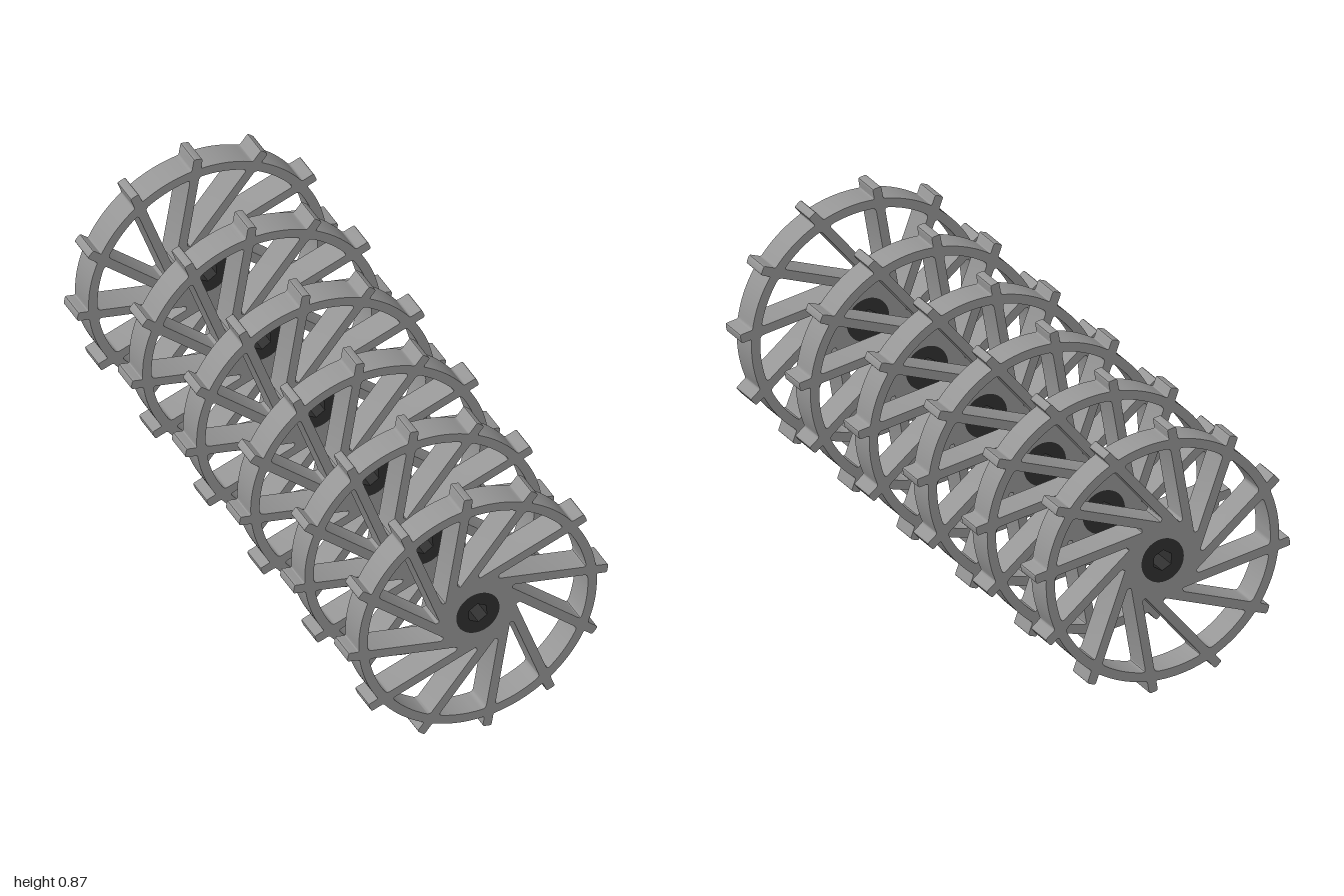
import * as THREE from 'three';
import { toCreasedNormals } from 'three/addons/utils/BufferGeometryUtils.js';

const SPOKES = 12, STEP = Math.PI * 2 / SPOKES, TILT = -9.6 * Math.PI / 180;
const RIM_OUT = 0.397, RIM_IN = 0.367, TIP = 0.422, HUB_R = 0.072;
const OFFSET = 0.1025, HALF = 0.0148;   // spoke centre line misses the axle by OFFSET
const LOW = OFFSET - HALF, HIGH = OFFSET + HALF;
const WIDTH = 0.095, CENTRE_Y = 0.434;

// Corner given in the frame of spoke k (u along it, v across it), with a rounding length
function corner(k, u, v, round = 0) {
  const a = TILT + k * STEP, c = Math.cos(a), s = Math.sin(a);
  return { p: new THREE.Vector2(u * c - v * s, u * s + v * c), round };
}
const onCircle = (k, r, v, round) => corner(k, Math.sqrt(r * r - v * v), v, round);

// Points of the circle strictly between two corners lying on it
function arcBetween(a, b, r, n = 11) {
  const a0 = a.p.angle();
  let d = b.p.angle() - a0;
  if (d < 0) d += Math.PI * 2;
  return Array.from({ length: n - 1 }, (_, i) => {
    const t = a0 + d * (i + 1) / n;
    return { p: new THREE.Vector2(r * Math.cos(t), r * Math.sin(t)), round: 0 };
  });
}

// Closed path whose corners are softened by their rounding length
function trace(path, pts) {
  pts.forEach(({ p, round }, i) => {
    const prev = pts[(i + pts.length - 1) % pts.length].p;
    const next = pts[(i + 1) % pts.length].p;
    const toward = q => p.clone().add(q.clone().sub(p).setLength(round));
    const a = round ? toward(prev) : p, b = round ? toward(next) : p;
    if (i === 0) path.moveTo(a.x, a.y); else path.lineTo(a.x, a.y);
    if (round) path.quadraticCurveTo(p.x, p.y, b.x, b.y);
  });
  path.closePath();
  return path;
}

function extrude(shape) {
  const g = new THREE.ExtrudeGeometry(shape, { depth: WIDTH, bevelEnabled: false, curveSegments: 4 });
  g.translate(0, 0, -WIDTH / 2);
  return toCreasedNormals(g, 0.4);
}

function circlePoints(r, n) {
  return Array.from({ length: n }, (_, i) => {
    const t = i / n * Math.PI * 2;
    return { p: new THREE.Vector2(r * Math.cos(t), r * Math.sin(t)), round: 0 };
  });
}

// Rim with lugs, slanted spokes and centre plate in one profile
function wheelGeometry() {
  const outline = [], holes = [];
  for (let k = 0; k < SPOKES; k++) {
    // lug and the rim up to the next lug
    const rootHigh = onCircle(k, RIM_OUT, HIGH, 0.006);
    outline.push(onCircle(k, RIM_OUT, LOW, 0.006), corner(k, TIP, LOW, 0.007),
      corner(k, TIP, HIGH, 0.007), rootHigh,
      ...arcBetween(rootHigh, onCircle(k + 1, RIM_OUT, LOW), RIM_OUT));
    // window between this spoke and the next
    const outA = onCircle(k, RIM_IN, HIGH, 0.012), outB = onCircle(k + 1, RIM_IN, LOW, 0.012);
    const u = 0.05;
    const meet = (Math.cos(STEP) * HIGH - LOW) / Math.sin(STEP);
    const capV = HIGH + (u - meet) * Math.tan(STEP);
    holes.push(trace(new THREE.Path(), [corner(k, u, HIGH, 0.005), outA,
      ...arcBetween(outA, outB, RIM_IN, 9), outB, corner(k, u, capV, 0.005)]));
  }
  const shape = trace(new THREE.Shape(), outline);
  shape.holes.push(...holes, trace(new THREE.Path(), circlePoints(HUB_R, 48)));
  return extrude(shape);
}

// Round hub with a hexagonal axle hole
function hubGeometry() {
  const shape = trace(new THREE.Shape(), circlePoints(HUB_R, 48));
  const turn = 33 * Math.PI / 180;
  const hex = circlePoints(0.034, 6);
  hex.forEach(c => c.p.rotateAround(new THREE.Vector2(), turn));
  shape.holes.push(trace(new THREE.Path(), hex));
  return extrude(shape);
}

export function createModel() {
  const grey = new THREE.MeshStandardMaterial({ name: 'wheelGrey', color: 0x969696 });
  const dark = new THREE.MeshStandardMaterial({ name: 'hubDark', color: 0x303030 });
  const wheelGeo = wheelGeometry(), hubGeo = hubGeometry();
  const model = new THREE.Group();
  model.name = 'wheelRow';

  // six identical wheels in a row along z
  for (let i = 0; i < 6; i++) {
    const unit = new THREE.Group();
    unit.name = 'wheel' + (i + 1);
    const wheel = new THREE.Mesh(wheelGeo, grey);
    wheel.name = 'spokedRim';
    const hub = new THREE.Mesh(hubGeo, dark);
    hub.name = 'hub';
    unit.add(wheel, hub);
    unit.position.set(0, CENTRE_Y, (i - 2.5) * (2 - WIDTH) / 5);
    model.add(unit);
  }
  return model;
}
